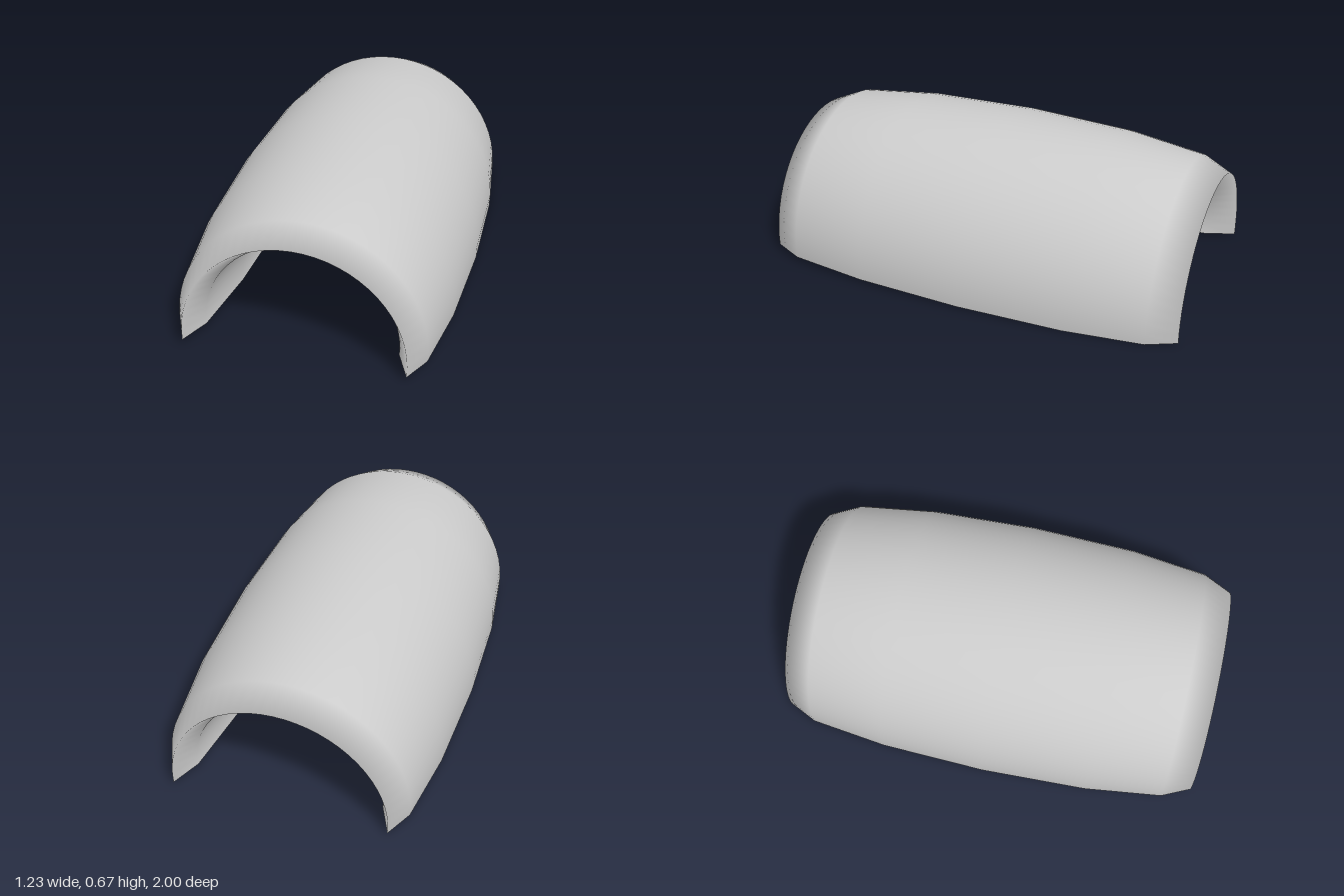
import * as THREE from 'three';

export function createModel() {
  const group = new THREE.Group();
  const ringRadius = 0.4925;  // arch centre line
  const tubeRadius = 0.1225;  // half the wall thickness
  const halfLength = 0.992;   // half the depth along z
  const rightDip = 0.08, leftDip = 0.068; // how far the arch runs past a half turn

  // Hollow, open-ended arch: part of a ring with its section stretched along z
  const geometry = new THREE.TorusGeometry(
    ringRadius, tubeRadius, 12, 32, Math.PI + rightDip + leftDip);
  geometry.rotateZ(-rightDip);
  geometry.scale(1, 1, halfLength / tubeRadius);

  const arch = new THREE.Mesh(geometry, new THREE.MeshStandardMaterial({
    color: 0xcccccc, side: THREE.DoubleSide,
  }));
  arch.name = 'archShell';

  // Slight lean, with the front raised and turned a little to -x
  arch.rotation.set(-0.0135, -0.0135, 0);
  arch.position.y = 0.057;
  group.add(arch);
  return group;
}
